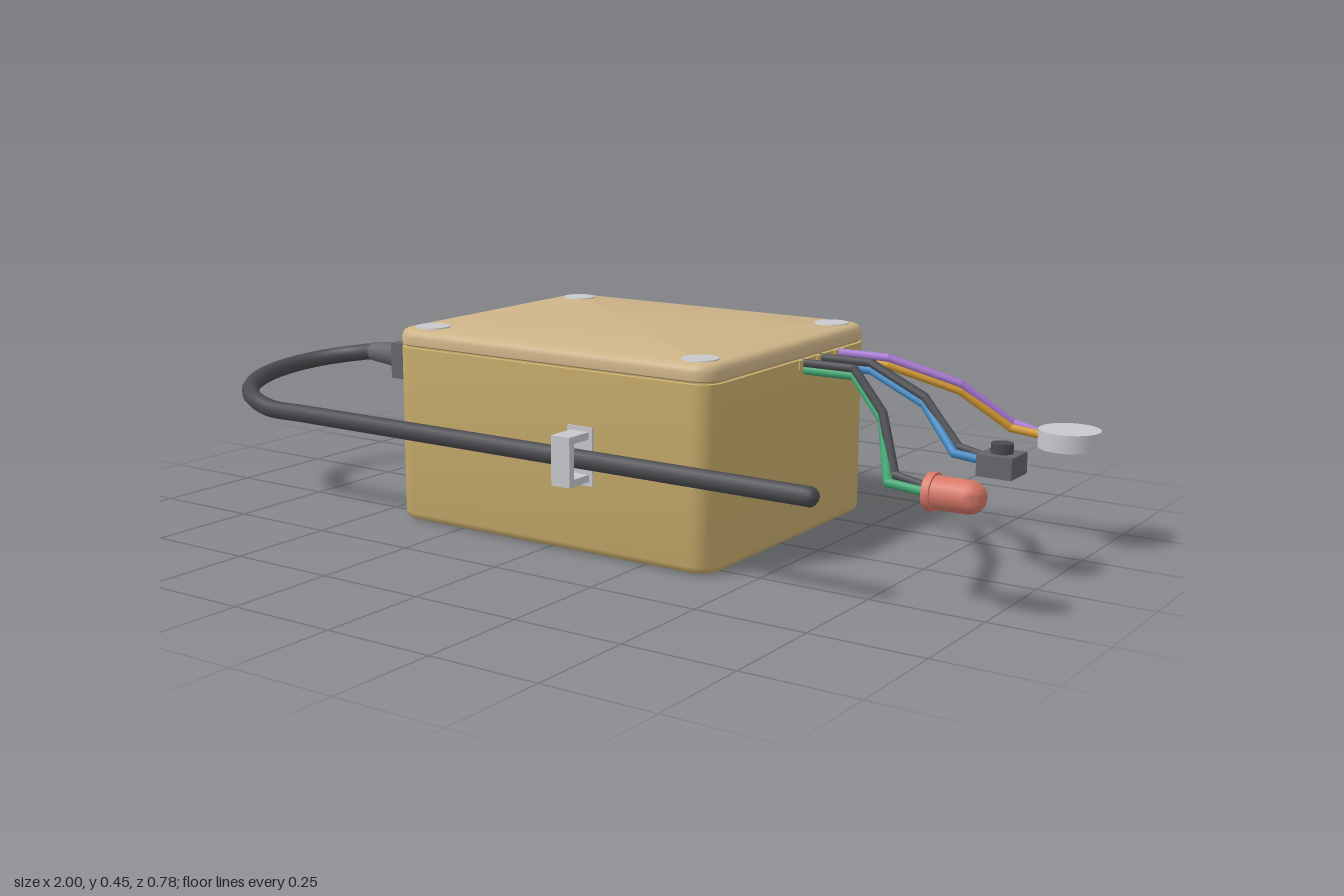
import * as THREE from 'three';
import { mergeGeometries, toCreasedNormals } from 'three/addons/utils/BufferGeometryUtils.js';

const mat = (name, color) => Object.assign(new THREE.MeshStandardMaterial({ color }), { name });
const V = (x, y, z) => new THREE.Vector3(x, y, z);

// Rounded-rectangle solid: a stack of loops, each given as [inset, y]
function roundedSolid(w, d, r, profile, steps = 6) {
  const pos = [], idx = [];
  const n = 4 * (steps + 1);
  for (const [inset, y] of profile) {
    for (let c = 0; c < 4; c++) {
      const cx = (c === 0 || c === 3 ? 1 : -1) * (w / 2 - r);
      const cz = (c < 2 ? -1 : 1) * (d / 2 - r);
      for (let s = 0; s <= steps; s++) {
        const a = (c + s / steps) * Math.PI / 2;
        pos.push(cx + (r - inset) * Math.cos(a), y, cz - (r - inset) * Math.sin(a));
      }
    }
  }
  const last = profile.length - 1;
  for (let i = 0; i < last; i++) {
    for (let j = 0; j < n; j++) {
      const k = (j + 1) % n, a = i * n, b = a + n;
      idx.push(a + j, a + k, b + k, a + j, b + k, b + j);
    }
  }
  const bottom = pos.length / 3;
  pos.push(0, profile[0][1], 0, 0, profile[last][1], 0);
  for (let j = 0; j < n; j++) {
    const k = (j + 1) % n;
    idx.push(bottom, k, j, bottom + 1, last * n + j, last * n + k);
  }
  const g = new THREE.BufferGeometry();
  g.setAttribute('position', new THREE.Float32BufferAttribute(pos, 3));
  g.setIndex(idx);
  return toCreasedNormals(g, 0.6);
}

// Bent wire: straight rods joined by small balls
function wireGeometry(points, r) {
  const parts = [];
  points.forEach((p, i) => {
    parts.push(new THREE.SphereGeometry(r, 8, 6).translate(p.x, p.y, p.z));
    if (i === 0) return;
    const q = points[i - 1], dir = p.clone().sub(q), mid = p.clone().add(q).multiplyScalar(0.5);
    const rod = new THREE.CylinderGeometry(r, r, dir.length(), 8, 1, true);
    rod.applyQuaternion(new THREE.Quaternion().setFromUnitVectors(V(0, 1, 0), dir.normalize()));
    parts.push(rod.translate(mid.x, mid.y, mid.z));
  });
  return mergeGeometries(parts);
}

export function createModel() {
  const model = new THREE.Group();
  model.name = 'controlBox';
  const tan = mat('caseTan', 0xc9ad6c), paleTan = mat('lidTan', 0xcdb387);
  const black = mat('cableBlack', 0x4a4b4f), grey = mat('plugGrey', 0x64666c);
  const silver = mat('silver', 0xc6c8cc), green = mat('wireGreen', 0x3fa570);
  const blue = mat('wireBlue', 0x3f86c0), orange = mat('wireOrange', 0xd0962f);
  const purple = mat('wirePurple', 0xa678d0), red = mat('lampRed', 0xd97868);

  const add = (name, geometry, material, x = 0, y = 0, z = 0, parent = model) => {
    const m = new THREE.Mesh(geometry, material);
    m.name = name;
    m.position.set(x, y, z);
    parent.add(m);
    return m;
  };
  const group = (name) => {
    const g = new THREE.Group();
    g.name = name;
    model.add(g);
    return g;
  };
  const box = (w, h, d) => new THREE.BoxGeometry(w, h, d);

  // Case and lid, with a narrow seam between
  const CX = -0.008, CZ = -0.027, W = 0.85, D = 0.69;
  add('caseBody', roundedSolid(W, D, 0.05,
    [[0.018, 0], [0.009, 0.003], [0.003, 0.009], [0, 0.018], [0, 0.403], [0.007, 0.404], [0.007, 0.41]]), tan, CX, 0, CZ);
  add('lid', roundedSolid(W, D, 0.05,
    [[0.004, 0.407], [0, 0.41], [0, 0.427], [0.003, 0.436], [0.009, 0.442], [0.018, 0.445]]), paleTan, CX, 0, CZ);

  // Lid screws
  const screws = group('screws');
  for (const sx of [-1, 1]) for (const sz of [-1, 1]) {
    add('screw', new THREE.CylinderGeometry(0.039, 0.042, 0.008, 24), silver,
      CX + sx * 0.36, 0.4435, CZ + sz * 0.281, screws);
  }

  // Plug with its port rim and tapered strain relief
  const plugY = 0.306, plugZ = -0.014;
  const rim = new THREE.Shape([[-0.087, -0.06], [0.087, -0.06], [0.087, 0.06], [-0.087, 0.06]]
    .map(([x, y]) => new THREE.Vector2(x, y)));
  rim.holes.push(new THREE.Path([[-0.075, -0.048], [-0.075, 0.048], [0.075, 0.048], [0.075, -0.048]]
    .map(([x, y]) => new THREE.Vector2(x, y))));
  add('portRim', new THREE.ExtrudeGeometry(rim, { depth: 0.003, bevelEnabled: false }).rotateY(-Math.PI / 2),
    tan, CX - W / 2, plugY, plugZ);
  add('plug', box(0.26, 0.088, 0.142), grey, -0.547, plugY, plugZ);
  add('strainRelief', new THREE.CylinderGeometry(0.036, 0.023, 0.125, 16).rotateZ(-Math.PI / 2),
    grey, -0.739, plugY, plugZ);

  // Cable: half turn sinking to the straight run along the front
  const cableY = 0.219, cableZ = 0.347, loopR = (cableZ - plugZ) / 2;
  const path = [V(-0.7, plugY, plugZ)];
  for (let i = 0; i <= 12; i++) {
    const t = i / 12, a = t * Math.PI;
    path.push(V(-0.8 - loopR * Math.sin(a), plugY + (cableY - plugY) * t, plugZ + loopR * (1 - Math.cos(a))));
  }
  for (const x of [-0.7, -0.4, 0, 0.4, 0.665]) path.push(V(x, cableY, cableZ));
  add('cable', new THREE.TubeGeometry(new THREE.CatmullRomCurve3(path, false, 'centripetal'), 120, 0.021, 10), black);
  add('cableEnd', new THREE.SphereGeometry(0.021, 10, 8), black, 0.665, cableY, cableZ);

  // Square cable clip on the front wall
  const clip = group('cableClip');
  const clipX = 0.094;
  add('clipBase', box(0.066, 0.128, 0.006), silver, clipX, cableY, 0.32, clip);
  add('clipFront', box(0.048, 0.109, 0.016), silver, clipX, cableY, 0.384, clip);
  for (const s of [-1, 1]) add('clipArm', box(0.048, 0.016, 0.066), silver, clipX, cableY + s * 0.0465, 0.35, clip);

  // Wire outlets under the seam of the side wall
  const outlet = new THREE.Shape();
  outlet.moveTo(-0.02, 0.403);
  outlet.lineTo(-0.02, 0.388);
  outlet.absarc(0, 0.388, 0.02, Math.PI, Math.PI * 2, false);
  outlet.lineTo(0.02, 0.403);
  const outletGeo = new THREE.ExtrudeGeometry(outlet, { depth: 0.004, bevelEnabled: false }).rotateY(Math.PI / 2);

  // Each pair: start z, then [x, y, z] bends for upper and lower wire
  const pairs = [
    ['buzzer', -0.227, purple, orange, -0.272, [-0.326, -0.315], 0.88],
    ['button', -0.147, black, blue, -0.093, [-0.042, -0.02], 0.88],
    ['lamp', -0.067, black, green, 0.101, [0.252, 0.28], 0.885],
  ];
  for (const [name, z0, upper, lower, zMid, zEnd, xEnd] of pairs) {
    add(name + 'Outlet', outletGeo, tan, CX + W / 2 - 0.001, 0, z0 + 0.004);
    [upper, lower].forEach((material, i) => {
      const drop = i * 0.016;
      add(name + 'Wire', wireGeometry([
        V(0.4, 0.395 - drop, z0), V(0.54, 0.395 - drop, z0), V(0.695, 0.347 - drop, zMid),
        V(0.8, 0.262 - drop * 0.6, zEnd[i]), V(xEnd, 0.245, zEnd[i]),
      ], 0.0095), material);
    });
  }

  // Buzzer disc
  add('buzzer', new THREE.CylinderGeometry(0.067, 0.067, 0.04, 32), silver, 0.93, 0.244, -0.324);

  // Push button
  add('buttonBase', box(0.077, 0.046, 0.08), grey, 0.902, 0.243, -0.027);
  add('buttonCap', new THREE.CylinderGeometry(0.023, 0.023, 0.022, 16), black, 0.902, 0.276, -0.027);

  // Indicator lamp: flange, barrel and dome in one lathe profile
  const lamp = [[0, 0], [0.038, 0], [0.038, 0.016], [0.033, 0.016], [0.033, 0.085]];
  for (let i = 1; i <= 6; i++) {
    const a = i * Math.PI / 12;
    lamp.push([i === 6 ? 0 : 0.033 * Math.cos(a), 0.085 + 0.033 * Math.sin(a)]);
  }
  const lampGeo = new THREE.LatheGeometry(lamp.map(([r, y]) => new THREE.Vector2(r, y)), 20);
  add('lamp', toCreasedNormals(lampGeo.rotateZ(-Math.PI / 2), 0.6), red, 0.88, 0.245, 0.267);

  return model;
}
